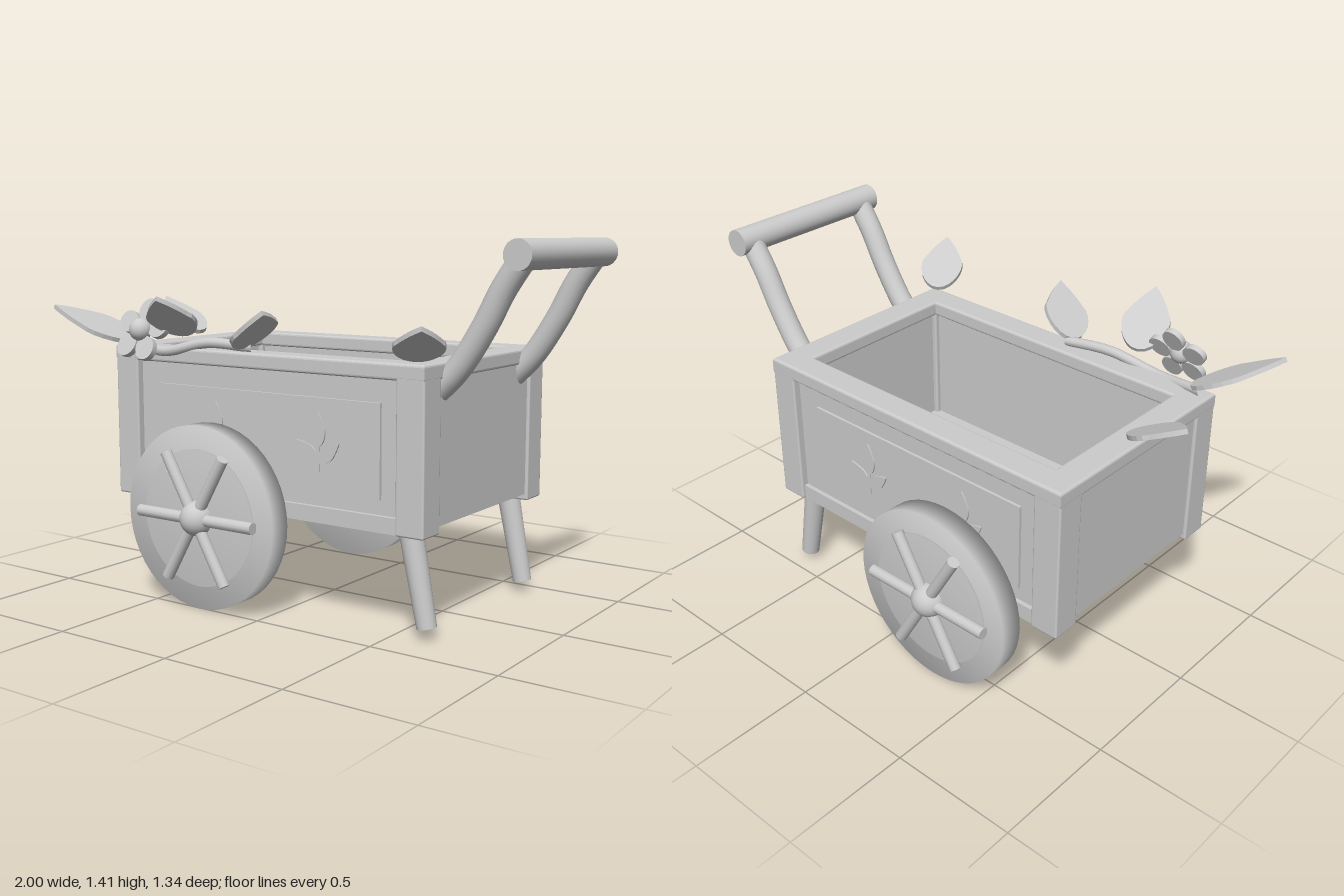
import * as THREE from 'three';
import { mergeVertices } from 'three/addons/utils/BufferGeometryUtils.js';
import { RoundedBoxGeometry } from 'three/addons/geometries/RoundedBoxGeometry.js';

const grey = new THREE.MeshStandardMaterial({ color: 0xcccccc });
grey.name = 'plain grey';
const V = (x, y, z) => new THREE.Vector3(x, y, z);

function add(parent, name, geometry, x = 0, y = 0, z = 0) {
  const mesh = new THREE.Mesh(geometry, grey);
  mesh.name = name;
  mesh.position.set(x, y, z);
  parent.add(mesh);
  return mesh;
}

// Box given by its min and max corners, optionally with rounded edges
function block(parent, name, [x0, y0, z0], [x1, y1, z1], r = 0) {
  const s = [x1 - x0, y1 - y0, z1 - z0];
  const g = r ? new RoundedBoxGeometry(...s, 2, r) : new THREE.BoxGeometry(...s);
  return add(parent, name, g, (x0 + x1) / 2, (y0 + y1) / 2, (z0 + z1) / 2);
}

// Cylinder between two points
function rod(parent, name, a, b, r0, r1 = r0, sides = 20) {
  const d = b.clone().sub(a);
  const mesh = add(parent, name, new THREE.CylinderGeometry(r1, r0, d.length(), sides));
  mesh.position.copy(a).add(b).multiplyScalar(0.5);
  mesh.quaternion.setFromUnitVectors(V(0, 1, 0), d.normalize());
  return mesh;
}

// Disc facing +z whose shading runs smoothly over the rim
function softDisc(r, depth) {
  const g = new THREE.CylinderGeometry(r, r, depth, 48).rotateX(Math.PI / 2);
  g.deleteAttribute('normal');
  g.deleteAttribute('uv');
  const merged = mergeVertices(g);
  merged.computeVertexNormals();
  return merged;
}

// Pointed leaf growing from the origin along +y
function leafGeometry(length, width, depth) {
  const w = width / 2, s = new THREE.Shape();
  s.moveTo(0, 0);
  s.bezierCurveTo(w * 0.8, 0, w * 1.3, length * 0.45, w * 0.85, length * 0.6);
  s.quadraticCurveTo(w * 0.5, length * 0.83, 0, length);
  s.quadraticCurveTo(-w * 0.5, length * 0.83, -w * 0.85, length * 0.6);
  s.bezierCurveTo(-w * 1.3, length * 0.45, -w * 0.8, 0, 0, 0);
  return new THREE.ExtrudeGeometry(s, { depth, bevelEnabled: false, curveSegments: 8 })
    .translate(0, 0, -depth / 2);
}

function leaf(parent, base, tip, width, normal) {
  const d = tip.clone().sub(base), length = d.length();
  d.normalize();
  const x = V().crossVectors(d, normal).normalize();
  const z = V().crossVectors(x, d);
  const mesh = add(parent, 'leaf', leafGeometry(length, width, 0.018));
  mesh.quaternion.setFromRotationMatrix(new THREE.Matrix4().makeBasis(x, d, z));
  mesh.position.copy(base);
}

// Wheel facing +z, centred on its hub axis
function makeWheel() {
  const wheel = new THREE.Group();
  wheel.name = 'wheel';
  add(wheel, 'wheelDisc', softDisc(0.355, 0.09));
  add(wheel, 'wheelInnerDisc', softDisc(0.265, 0.02), 0, 0, 0.04);
  for (let i = 0; i < 3; i++) {
    const a = i * Math.PI / 3, p = V(Math.cos(a) * 0.28, Math.sin(a) * 0.28, 0.065);
    rod(wheel, 'spoke', p, V(-p.x, -p.y, p.z), 0.023, 0.023, 12);
  }
  add(wheel, 'hub', new THREE.SphereGeometry(0.068, 24, 16), 0, 0, 0.05);
  return wheel;
}

// Long side facing +z, with raised panel and sprig reliefs
function makeSide() {
  const side = new THREE.Group();
  side.name = 'longSide';
  block(side, 'sideWall', [-0.7, 0.4, 0.36], [0.57, 0.95, 0.425]);
  block(side, 'bottomRail', [-0.68, 0.38, 0.36], [0.55, 0.44, 0.442]);
  block(side, 'raisedPanel', [-0.565, 0.495, 0.42], [0.465, 0.84, 0.436]);
  for (const x of [0.2, -0.28]) {
    const sprig = new THREE.Group();
    sprig.name = 'sprig';
    sprig.position.set(x, 0.57, 0.438);
    block(sprig, 'sprigStem', [-0.007, 0, -0.004], [0.007, 0.1, 0.004]);
    add(sprig, 'sprigLeaf', leafGeometry(0.13, 0.065, 0.008), 0, 0.09, 0);
    for (const s of [-1, 1])
      add(sprig, 'sprigLeaf', leafGeometry(0.12, 0.055, 0.008), 0, 0.035, 0).rotation.z = s * 0.9;
    side.add(sprig);
  }
  return side;
}

export function createModel() {
  const model = new THREE.Group();
  model.name = 'flowerCart';

  // The cart body is built around its own middle plane
  const cart = new THREE.Group();
  cart.name = 'cart';
  cart.position.z = -0.048;
  model.add(cart);

  // Body: sides, ends, floor and corner posts
  const front = makeSide(), back = new THREE.Group();
  back.name = 'backSide';
  const turned = makeSide();
  turned.rotation.y = Math.PI;
  turned.position.x = -0.13;
  back.add(turned);
  cart.add(front, back);
  block(cart, 'leftEnd', [0.56, 0.405, -0.38], [0.643, 0.95, 0.38]);
  block(cart, 'rightEnd', [-0.773, 0.405, -0.38], [-0.69, 0.95, 0.38]);
  block(cart, 'floor', [-0.72, 0.4, -0.4], [0.59, 0.45, 0.4]);
  for (const x of [-0.785, 0.54])
    for (const z of [-0.455, 0.34])
      block(cart, 'cornerPost', [x, 0.38, z], [x + 0.115, 0.94, z + 0.115], 0.008);

  // Top rim with bevelled edges
  const rect = (P, x0, x1, z) => {
    const p = new P();
    p.moveTo(x0, -z); p.lineTo(x1, -z); p.lineTo(x1, z); p.lineTo(x0, z); p.closePath();
    return p;
  };
  const rim = rect(THREE.Shape, -0.775, 0.645, 0.445);
  rim.holes.push(rect(THREE.Path, -0.68, 0.55, 0.352));
  add(cart, 'rim', new THREE.ExtrudeGeometry(rim, {
    depth: 0.04, bevelThickness: 0.01, bevelSize: 0.01, bevelSegments: 3,
  }).rotateX(-Math.PI / 2), 0, 0.935, 0);

  // Wheels and axle
  for (const s of [1, -1]) {
    const wheel = makeWheel();
    wheel.position.set(-0.275, 0.356, s * 0.51);
    if (s < 0) wheel.rotation.y = Math.PI;
    cart.add(wheel);
  }
  rod(cart, 'axle', V(-0.275, 0.36, -0.5), V(-0.275, 0.36, 0.5), 0.042);

  // Splayed legs and push handle
  const arm = new THREE.CatmullRomCurve3([
    V(0.6, 0.87, 0), V(0.69, 0.96, 0), V(0.79, 1.11, 0), V(0.86, 1.24, 0), V(0.935, 1.35, 0)]);
  for (const s of [1, -1]) {
    rod(cart, 'leg', V(0.625, 0.045, s * 0.372), V(0.55, 0.42, s * 0.372), 0.037, 0.045);
    add(cart, 'handleArm', new THREE.TubeGeometry(arm, 24, 0.046, 16), 0, 0, s * 0.29);
  }
  rod(cart, 'handleBar', V(0.94, 1.355, -0.355), V(0.94, 1.355, 0.355), 0.053, 0.053, 28);

  // Vine along the front rim
  const vine = new THREE.CatmullRomCurve3([
    V(-0.75, 1, 0.36), V(-0.52, 0.97, 0.41), V(-0.32, 1.01, 0.385), V(-0.12, 1, 0.36)]);
  add(model, 'vine', new THREE.TubeGeometry(vine, 32, 0.02, 10));

  // Flower tilted up towards the front
  const flower = new THREE.Group();
  flower.name = 'flower';
  flower.position.set(-0.575, 1.05, 0.47);
  flower.rotation.x = -0.42;
  for (let i = 0; i < 5; i++) {
    const a = Math.PI / 2 - 0.1 + i * Math.PI * 0.4;
    const petal = add(flower, 'petal', new THREE.CylinderGeometry(0.044, 0.044, 0.024, 20)
      .rotateX(Math.PI / 2), Math.cos(a) * 0.082, Math.sin(a) * 0.082, 0);
    petal.rotation.z = a;
    petal.scale.x = 1.1;
  }
  add(flower, 'flowerCentre', new THREE.SphereGeometry(0.045, 20, 14), 0, 0, 0.015);
  model.add(flower);

  // Leaves: base, tip, width, upper side
  const up = V(0, 1, 0);
  leaf(model, V(-0.7, 1, 0.365), V(-0.975, 1.135, 0.555), 0.2, V(0.13, 0.27, 0));
  leaf(model, V(-0.425, 1.04, 0.41), V(-0.325, 1.19, 0.66), 0.185, up);
  leaf(model, V(-0.14, 1.01, 0.365), V(0.06, 1.145, 0.53), 0.185, V(-0.135, 0.2, 0));
  leaf(model, V(0.61, 1, 0.38), V(0.76, 1.125, 0.605), 0.175, up);
  leaf(model, V(-0.74, 1.005, -0.05), V(-1, 1.14, -0.12), 0.17, up);
  return model;
}
